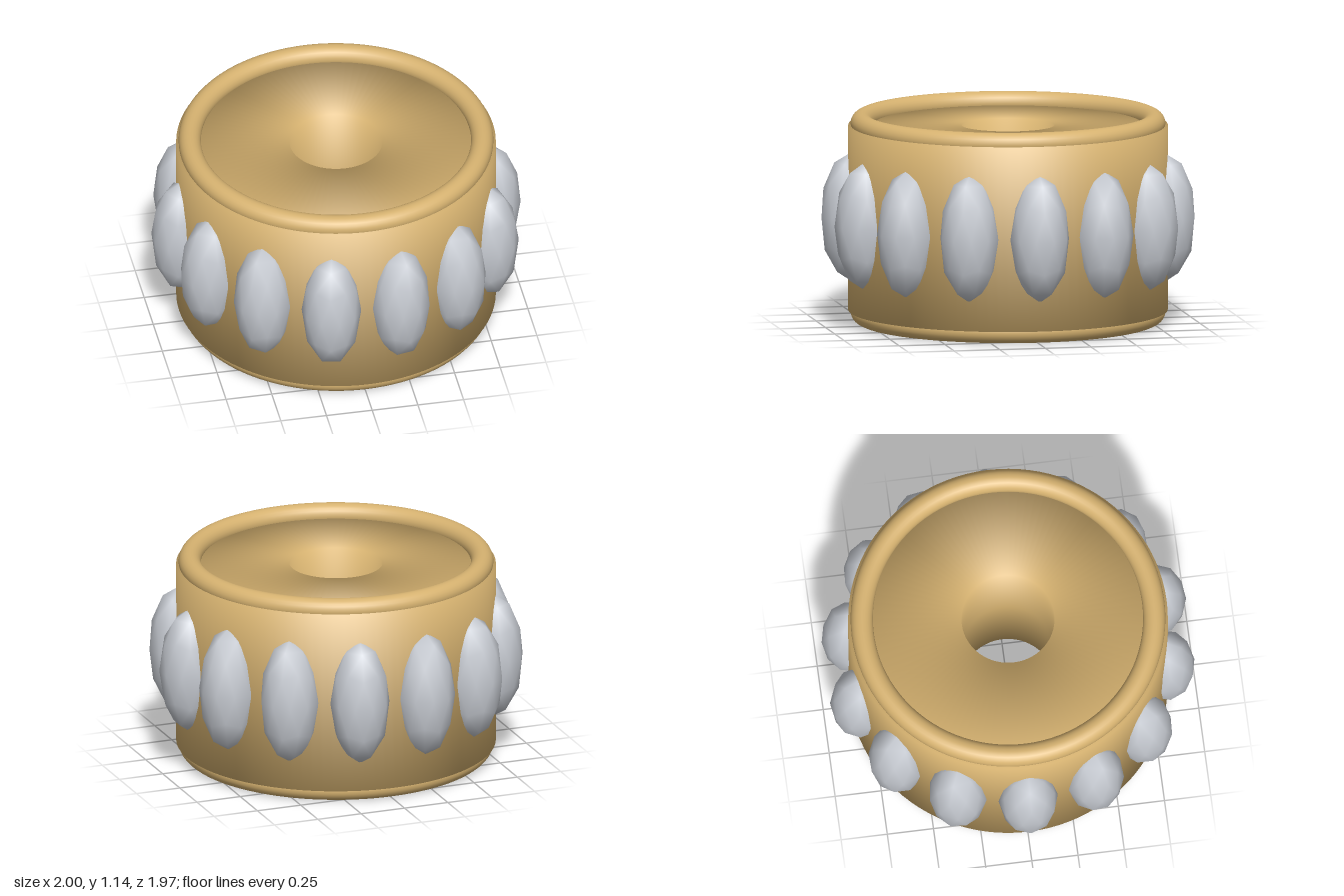
import * as THREE from 'three';

export function createModel() {
  const model = new THREE.Group();
  const gold = new THREE.MeshStandardMaterial({ color: 0xd6b270 });
  gold.name = 'gold';
  const silver = new THREE.MeshStandardMaterial({ color: 0xc8ccd3 });
  silver.name = 'silver';

  const MID = 0.57; // height of the horizontal mirror plane
  const add = (name, geometry, material) => {
    const mesh = new THREE.Mesh(geometry, material);
    mesh.name = name;
    model.add(mesh);
    return mesh;
  };

  // Bored drum with flat ends; the profile runs from mid-bore, round the outside and back.
  // Corners share smooth normals, so the shading rolls softly over the edges.
  const profile = [
    [0.25, MID], [0.25, 0.07], [0.858, 0.07], [0.858, 1.07], [0.25, 1.07], [0.25, MID],
  ].map(([r, y]) => new THREE.Vector2(r, y));
  add('drum', new THREE.LatheGeometry(profile, 96), gold);

  // Rounded rim on each end
  const rimGeometry = new THREE.TorusGeometry(0.785, 0.06, 24, 96);
  rimGeometry.rotateX(Math.PI / 2);
  for (const [name, side] of [['topRim', 1], ['bottomRim', -1]]) {
    add(name, rimGeometry, gold).position.y = MID + side * 0.51;
  }

  // Ring of tall studs with a faceted outline, one pole of each pointing up
  const stud = new THREE.IcosahedronGeometry(1, 1);
  stud.rotateZ(-Math.atan(2 / (1 + Math.sqrt(5))));
  stud.scale(0.16, 0.345, 0.16);
  const COUNT = 14;
  for (let i = 0; i < COUNT; i++) {
    const a = (i / COUNT) * Math.PI * 2;
    const mesh = add('stud', stud, silver);
    mesh.position.set(0.848 * Math.cos(a), MID, 0.848 * Math.sin(a));
    mesh.rotation.y = -a;
  }
  return model;
}
